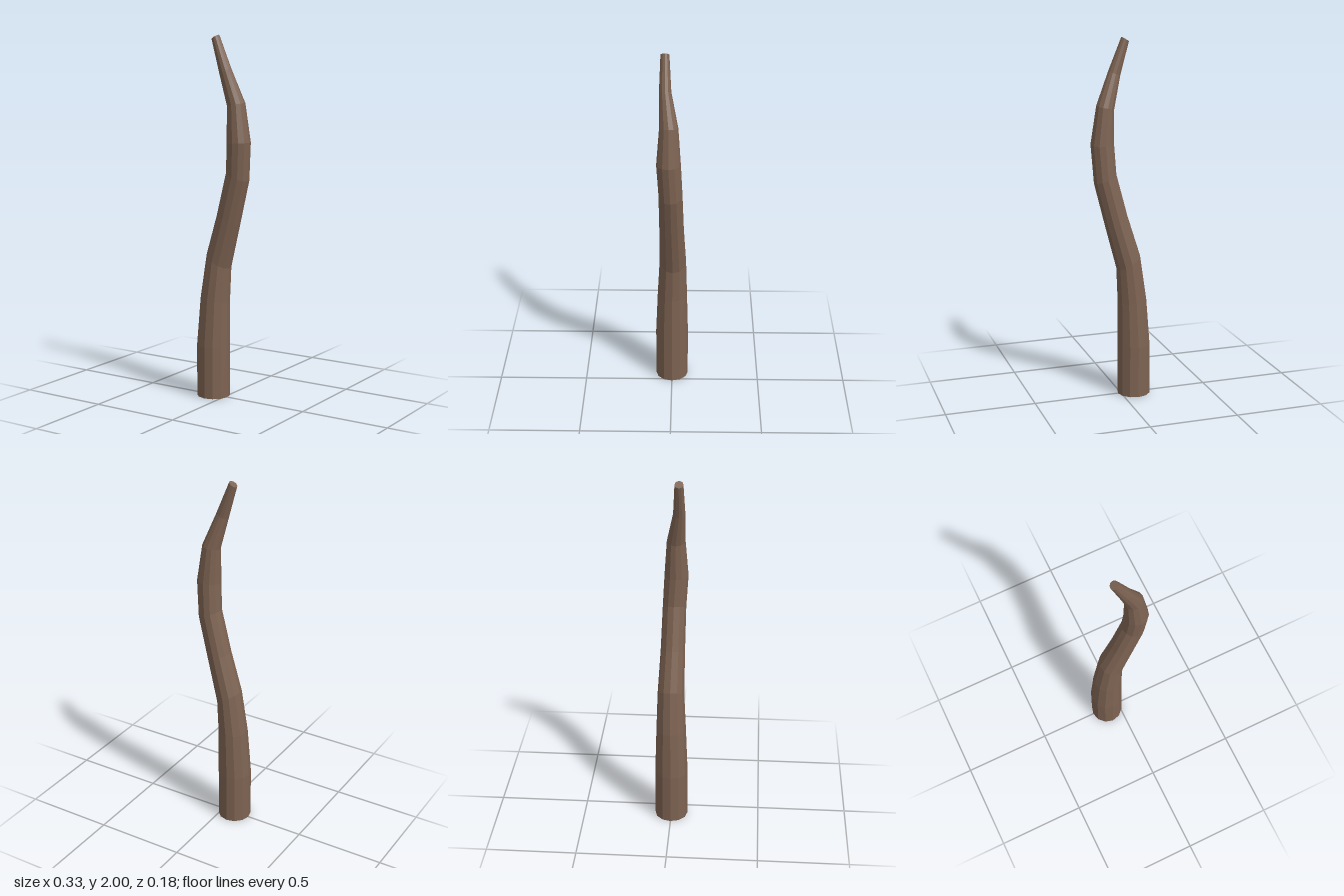
import * as THREE from 'three';

const SIDES = 12;

// Cross-sections: [left x, left y, right x, right y, centre z, radius in z]
const RINGS = [
  [-0.167, 0, 0.017, 0, 0, 0.092],
  [-0.167, 0.29, 0.017, 0.29, 0, 0.092],
  [-0.145, 0.56, 0.017, 0.54, -0.002, 0.083],
  [-0.107, 0.81, 0.025, 0.73, -0.005, 0.074],
  [-0.038, 1.03, 0.09, 0.98, 0.001, 0.067],
  [0.025, 1.27, 0.15, 1.22, 0.006, 0.064],
  [0.034, 1.425, 0.165, 1.43, 0.016, 0.065],
  [0.034, 1.62, 0.132, 1.64, 0.015, 0.05],
  [-0.007, 1.795, 0.06, 1.82, 0.034, 0.032],
  [-0.056, 1.975, -0.015, 2.0, 0.036, 0.023],
];

// Lofts a closed skin through the tilted rings, with a cap at each end
function loft(rings, sides) {
  const pos = [];
  const index = [];
  for (const [lx, ly, rx, ry, z, rz] of rings) {
    for (let i = 0; i < sides; i++) {
      const a = (i / sides) * Math.PI * 2;
      const u = (1 + Math.cos(a)) / 2;
      pos.push(lx + (rx - lx) * u, ly + (ry - ly) * u, z + rz * Math.sin(a));
    }
  }
  const last = (rings.length - 1) * sides;
  for (let r = 0; r < last; r += sides) {
    for (let i = 0; i < sides; i++) {
      const a = r + i;
      const b = r + ((i + 1) % sides);
      index.push(a, a + sides, b, b, a + sides, b + sides);
    }
  }
  for (let i = 1; i < sides - 1; i++) {
    index.push(0, i, i + 1); // bottom
    index.push(last, last + i + 1, last + i); // tip
  }
  const geo = new THREE.BufferGeometry();
  geo.setAttribute('position', new THREE.Float32BufferAttribute(pos, 3));
  geo.setIndex(index);
  const flat = geo.toNonIndexed();
  flat.computeVertexNormals();
  return flat;
}

export function createModel() {
  const group = new THREE.Group();
  const bark = new THREE.MeshStandardMaterial({ color: 0x7d6352, flatShading: true });

  // Bent, tapering wooden stem
  const stem = new THREE.Mesh(loft(RINGS, SIDES), bark);
  stem.name = 'stem';
  group.add(stem);
  return group;
}
